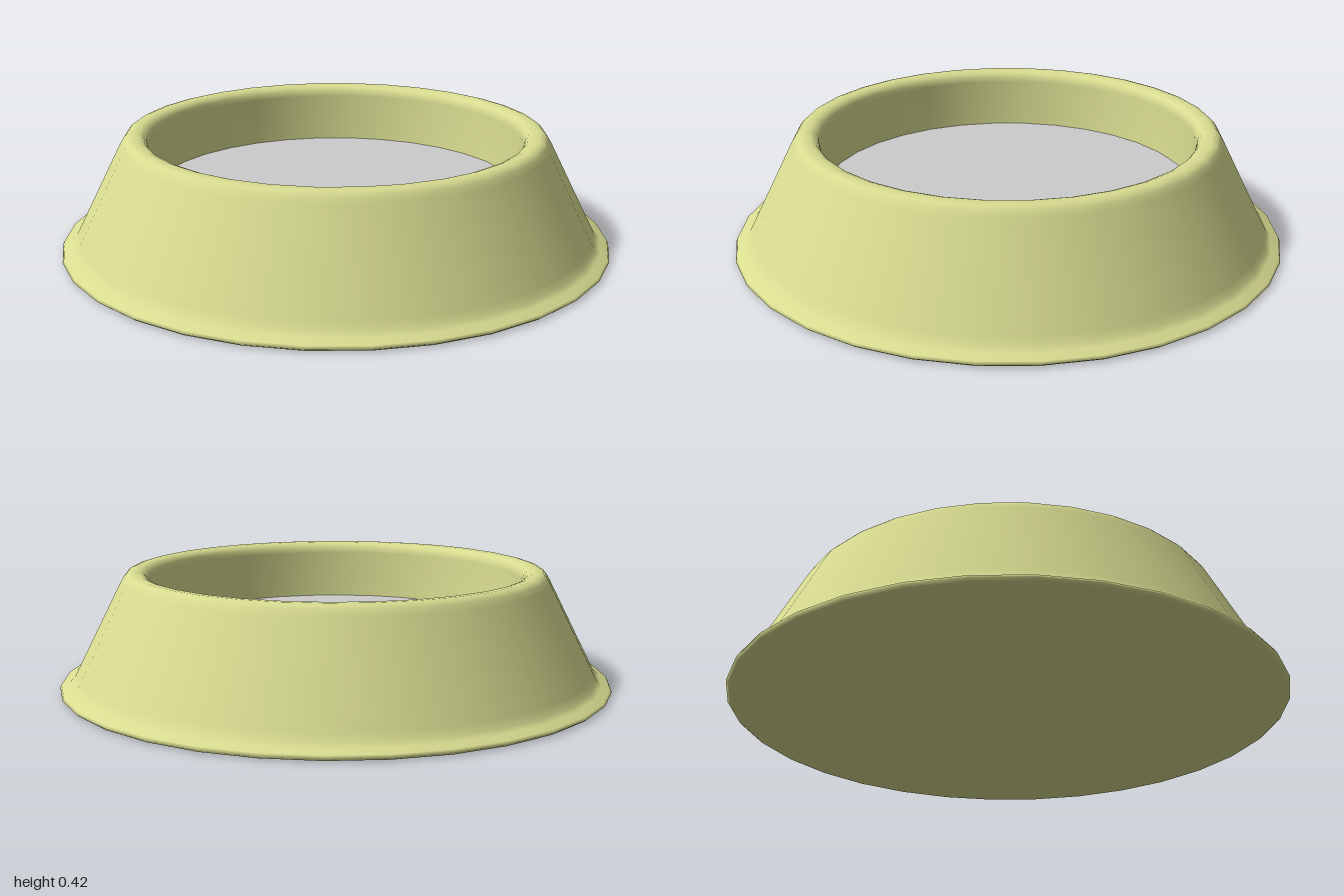
import * as THREE from 'three';

const SIDES = 32;

export function createModel() {
  const model = new THREE.Group();
  model.name = 'bowl';

  // Bowl wall: underside, flared foot, sloping side, rounded rim, inner wall and floor
  const profile = [
    [0, 0], [0.96, 0], [0.99, 0.002],
    [1, 0.01], [0.995, 0.02], [0.965, 0.03], [0.948, 0.045],
    [0.935, 0.07], [0.775, 0.385],
    [0.763, 0.405], [0.752, 0.417], [0.735, 0.422],
    [0.71, 0.421], [0.692, 0.414], [0.682, 0.4], [0.678, 0.38],
    [0.67, 0.09], [0.65, 0.06], [0, 0.06],
  ].map(([r, y]) => new THREE.Vector2(r, y));
  const body = new THREE.Mesh(
    new THREE.LatheGeometry(profile, SIDES),
    new THREE.MeshStandardMaterial({ color: 0xd8dc90 })
  );
  body.name = 'bowlBody';
  model.add(body);

  // Flat surface of the contents, halfway up the inner wall
  const contents = new THREE.Mesh(
    new THREE.CircleGeometry(0.674, SIDES).rotateX(-Math.PI / 2),
    new THREE.MeshStandardMaterial({ color: 0xcccccc, side: THREE.DoubleSide })
  );
  contents.name = 'contentsSurface';
  contents.position.y = 0.2;
  model.add(contents);

  return model;
}
